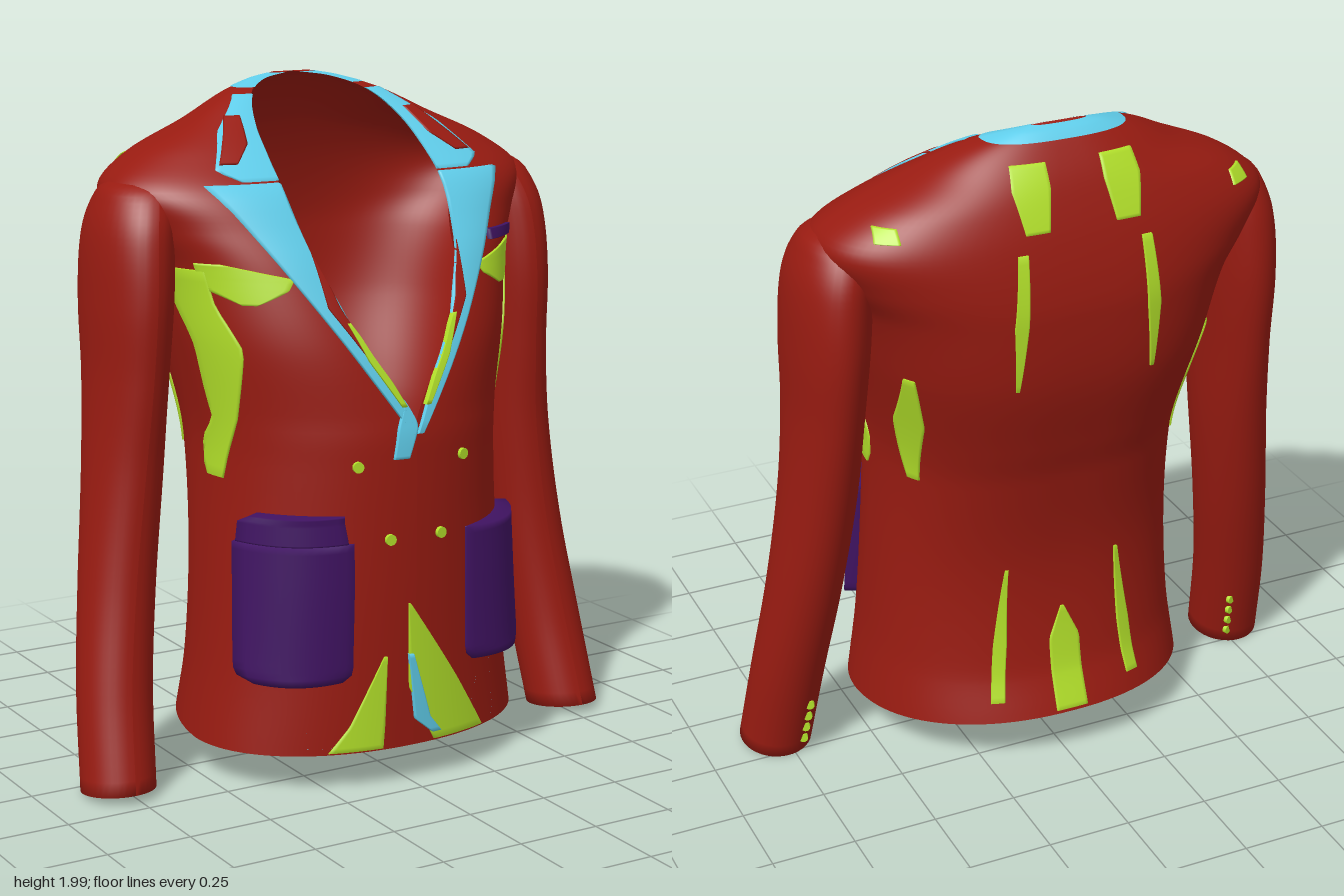
import * as THREE from 'three';

const mat = (color) => new THREE.MeshStandardMaterial({ color, side: THREE.DoubleSide });
const RED = mat(0x981b11), LIME = mat(0xb2e02a), CYAN = mat(0x60cdea), PURPLE = mat(0x401362);

// Body sections: y, half width, z of side, z of front edge, z of back, x of front edge
const BODY = [
  [0.12, 0.515, 0.08, 0.45, -0.38, 0],
  [0.35, 0.485, 0.07, 0.455, -0.325, 0],
  [0.65, 0.465, 0.06, 0.46, -0.305, 0],
  [0.95, 0.455, 0.05, 0.46, -0.35, 0],
  [1.07, 0.465, 0.04, 0.452, -0.385, 0],
  [1.29, 0.51, 0, 0.39, -0.445, 0.13],
  [1.5, 0.56, -0.06, 0.295, -0.46, 0.225],
  [1.6, 0.62, -0.09, 0.235, -0.45, 0.25],
  [1.71, 0.67, -0.1, 0.16, -0.425, 0.263],
  [1.8, 0.565, -0.13, 0.06, -0.395, 0.258],
  [1.88, 0.39, -0.14, -0.045, -0.36, 0.24],
  [1.95, 0.25, -0.185, -0.15, -0.315, 0.19],
  [1.985, 0.14, -0.235, -0.225, -0.283, 0.105],
  [2.0, 0.06, -0.255, -0.255, -0.255, 0],
];

// Sleeve sections: y, x centre, z centre, x radius, z radius
const SLEEVE = [
  [0.02, 0.773, 0.097, 0.107, 0.115],
  [0.3, 0.746, 0.027, 0.108, 0.117],
  [0.6, 0.705, -0.03, 0.108, 0.13],
  [0.92, 0.665, -0.065, 0.107, 0.155],
  [1.18, 0.645, -0.078, 0.105, 0.187],
  [1.4, 0.635, -0.085, 0.113, 0.208],
  [1.58, 0.622, -0.09, 0.114, 0.195],
  [1.68, 0.598, -0.095, 0.107, 0.16],
  [1.73, 0.57, -0.1, 0.09, 0.11],
  [1.755, 0.54, -0.11, 0.01, 0.02],
];

// Smooth interpolation of a table by its first column
function sample(table, y) {
  const n = table.length;
  y = Math.min(Math.max(y, table[0][0]), table[n - 1][0]);
  let i = 0;
  while (i < n - 2 && y > table[i + 1][0]) i++;
  const h = table[i + 1][0] - table[i][0], t = (y - table[i][0]) / h;
  const slope = (k, c) => {
    const a = table[Math.max(k - 1, 0)], b = table[Math.min(k + 1, n - 1)];
    return (b[c] - a[c]) / (b[0] - a[0]);
  };
  return table[i].map((_, c) => (2 * t ** 3 - 3 * t * t + 1) * table[i][c] + (t ** 3 - 2 * t * t + t) * h * slope(i, c)
    + (3 * t * t - 2 * t ** 3) * table[i + 1][c] + (t ** 3 - t * t) * h * slope(i + 1, c));
}

const bodyAt = (y) => {
  const s = sample(BODY, y);
  s[5] = y <= 1.07 ? 0 : Math.max(0, s[5]);
  return s;
};

// Roundness of a section: 1 is an ellipse, less is squarer
const roundness = (y, back) => (back ? 0.92 - 0.17 * Math.min(1, y / 1.3) : 0.92 + 0.08 * Math.min(1, y / 0.8));

// Point on the body: angle 0 is the front edge, PI the middle of the back
function bodyPoint(y, a, sign, off = 0) {
  const [, xs, zm, zf, zb, xo] = bodyAt(y);
  const s = Math.max(0, Math.sin(a)), c = Math.cos(a);
  const front = a <= Math.PI / 2, inner = front ? xo : 0, p = roundness(y, !front);
  const x = inner + (xs - inner) * s ** p + off * s;
  const z = zm + ((front ? zf : zb) - zm) * Math.abs(c) ** p + off * c;
  const lift = front ? 0 : 0.05 * -c * Math.max(0, (0.3 - y) / 0.18);
  return [sign * x, y + lift, z];
}

// Surface from a grid of points, with fn(i, j) giving each one
function grid(name, material, rows, cols, fn) {
  const pos = [], idx = [];
  for (let i = 0; i <= rows; i++) for (let j = 0; j <= cols; j++) pos.push(...fn(i, j));
  for (let i = 0; i < rows; i++) for (let j = 0; j < cols; j++) {
    const a = i * (cols + 1) + j, b = a + cols + 1;
    idx.push(a, a + 1, b, a + 1, b + 1, b);
  }
  const g = new THREE.BufferGeometry();
  g.setAttribute('position', new THREE.Float32BufferAttribute(pos, 3));
  g.setIndex(idx);
  g.computeVertexNormals();
  const m = new THREE.Mesh(g, material);
  m.name = name;
  return m;
}

// Layer going all around the body between two heights
function shell(name, material, y0, y1, off, rows) {
  const cols = 96;
  return grid(name, material, rows, cols, (i, j) => {
    const y = y0 + (y1 - y0) * (1 - (1 - i / rows) ** 1.6);
    const a = (j / cols) * 2 * Math.PI;
    return a <= Math.PI ? bodyPoint(y, a, 1, off) : bodyPoint(y, 2 * Math.PI - a, -1, off);
  });
}

// Point above the body at a given x and y
function onBody(x, y, back, off) {
  const [, xs, , , , xo] = bodyAt(y), ax = Math.abs(x);
  const r = THREE.MathUtils.clamp(back ? ax / xs : (ax - xo) / (xs - xo), 0, 1);
  const a = Math.asin(r ** (1 / roundness(y, back)));
  return bodyPoint(y, back ? Math.PI - a : a, x < 0 ? -1 : 1, off);
}

// Cloth piece lying on the body, with a turned-down rim; rows are [y, x0, x1]
function patch(name, material, rows, { back = false, off = 0.006, bulge = 0, flip = 1 } = {}) {
  const n = 22, m = 14;
  const spread = (k, n) => (k === 0 ? 0 : k === n ? 1 : 0.004 + 0.992 * (k - 1) / (n - 2));
  const y0 = rows[0][0], y1 = rows[rows.length - 1][0];
  return grid(name, material, n, m, (i, j) => {
    const y = y0 + (y1 - y0) * spread(i, n), u = spread(j, m);
    let k = 0;
    while (k < rows.length - 2 && y > rows[k + 1][0]) k++;
    const t = (y - rows[k][0]) / (rows[k + 1][0] - rows[k][0]);
    const mix = (c) => rows[k][c] + (rows[k + 1][c] - rows[k][c]) * t;
    const x = mix(1) + (mix(2) - mix(1)) * u;
    const rim = i === 0 || j === 0 || i === n || j === m;
    return onBody(flip * x, y, back, rim ? 0 : off + bulge * Math.sin(2.4 * u));
  });
}

function button(p, r, tilt = 0) {
  const b = new THREE.Mesh(new THREE.CylinderGeometry(r, r, 0.012, 16), LIME);
  b.rotation.set(Math.PI / 2, 0, tilt);
  b.position.set(...p);
  b.name = 'button';
  return b;
}

function sleeve(side) {
  const g = new THREE.Group();
  g.name = side > 0 ? 'leftSleeve' : 'rightSleeve';
  const rows = 60, cols = 40;
  g.add(grid('sleeveCloth', RED, rows, cols, (i, j) => {
    // the first row turns inside the cuff
    const y = i === 0 ? 0.05 : 0.02 + 1.735 * (1 - (1 - (i - 1) / (rows - 1)) ** 1.4);
    const [, x, z, rx, rz] = sample(SLEEVE, y);
    const a = (j / cols) * 2 * Math.PI * side, k = i === 0 ? 0.93 : 1;
    const dz = rz * k * Math.cos(a);
    return [side * (x + rx * k * Math.sin(Math.abs(a))), y + 0.12 * dz * Math.max(0, 1 - y), z + dz];
  }));
  for (let i = 0; i < 4; i++) {
    const [, x, z, rx, rz] = sample(SLEEVE, 0.07 + i * 0.045);
    g.add(button([side * (x - rx * 0.4), 0.06 + i * 0.045, z - rz * 0.92], 0.014, side * 0.4));
  }
  return g;
}

export function createModel() {
  const model = new THREE.Group();
  model.name = 'jacket';
  model.add(shell('body', RED, 0.12, 2.0, 0, 100), shell('lining', LIME, 0.125, 0.85, -0.008, 30));
  model.add(shell('collarBand', CYAN, 1.965, 1.997, 0.005, 12));
  model.add(sleeve(1), sleeve(-1));

  for (const flip of [1, -1]) {
    // Lapels and collar
    model.add(patch('lapel', CYAN, [[1.04, 0, 0.015], [1.2, 0.075, 0.125], [1.35, 0.165, 0.225], [1.48, 0.215, 0.31],
      [1.65, 0.25, 0.42], [1.73, 0.25, 0.48]], { flip, off: 0.012 }));
    model.add(patch('collar', CYAN, [[1.735, 0.25, 0.37], [1.765, 0.25, 0.43], [1.86, 0.24, 0.36], [1.95, 0.18, 0.24]], { flip, off: 0.01 }));
    model.add(patch('lapelLining', LIME, [[1.12, 0.03, 0.045], [1.25, 0.1, 0.13], [1.36, 0.17, 0.18]], { flip, off: 0.018 }));
    model.add(patch('lapelFacing', RED, [[1.22, 0.1, 0.105], [1.4, 0.19, 0.225], [1.55, 0.235, 0.24]], { flip, off: 0.016 }));
    model.add(patch('collarFacing', RED, [[1.78, 0.36, 0.41], [1.83, 0.3, 0.37], [1.9, 0.27, 0.31]], { flip, off: 0.015 }));
    // Lining showing at the sides and chest
    model.add(patch('sidePanel', LIME, [[0.9, 0.445, 0.455], [1.08, 0.43, 0.46], [1.28, 0.43, 0.5], [1.4, 0.48, 0.53], [1.5, 0.5, 0.55]], { flip }));
    model.add(patch('chestPanel', LIME, [[1.41, 0.4, 0.43], [1.45, 0.32, 0.5], [1.48, 0.3, 0.51], [1.52, 0.47, 0.52]], { flip }));
    // Lining showing at the back
    const back = { flip, back: true };
    model.add(patch('yokePanel', LIME, [[1.75, 0.1, 0.17], [1.86, 0.08, 0.19], [1.92, 0.08, 0.18]], back));
    model.add(patch('shoulderPanel', LIME, [[1.755, 0.5, 0.56], [1.79, 0.5, 0.55]], back));
    model.add(patch('upperBackSeam', LIME, [[1.3, 0.2, 0.21], [1.5, 0.18, 0.22], [1.7, 0.17, 0.2]], back));
    model.add(patch('lowerBackSeam', LIME, [[0.2, 0.2, 0.24], [0.4, 0.18, 0.22], [0.65, 0.17, 0.18]], back));
    model.add(patch('backSidePanel', LIME, [[0.95, 0.4, 0.42], [1.15, 0.41, 0.46], [1.32, 0.45, 0.47]], back));
    // Hip pockets
    model.add(patch('pocket', PURPLE, [[0.335, 0.22, 0.41], [0.36, 0.19, 0.445], [0.6, 0.185, 0.435], [0.74, 0.185, 0.43]], { flip, off: 0.008, bulge: 0.045 }));
    // Facing inside the hem
    model.add(patch('innerFacing', CYAN, [[0.14, 0.2, 0.32], [0.35, 0.26, 0.3]], { flip, off: -0.014 }));
  }
  model.add(patch('backVent', LIME, [[0.135, -0.05, 0.05], [0.4, -0.045, 0.05], [0.5, 0, 0.01]], { back: true }));
  model.add(patch('pocketFlap', PURPLE, [[0.74, 0.2, 0.425], [0.8, 0.21, 0.42], [0.82, 0.21, 0.4]], { flip: -1, off: 0.012, bulge: 0.04 }));
  model.add(patch('breastPocket', PURPLE, [[1.535, 0.37, 0.49], [1.565, 0.37, 0.49]], { off: 0.012 }));

  // Front closing and hem pieces
  model.add(patch('frontOverlap', CYAN, [[0.975, -0.075, -0.03], [1.06, -0.06, 0], [1.14, -0.03, -0.01]], { off: 0.012 }));
  model.add(patch('leftHemPanel', LIME, [[0.125, 0.07, 0.26], [0.3, -0.02, 0.15], [0.55, -0.025, -0.02]]));
  model.add(patch('rightHemPanel', LIME, [[0.125, -0.26, -0.1], [0.2, -0.2, -0.095], [0.4, -0.1, -0.09]]));
  model.add(patch('hemFacing', CYAN, [[0.15, 0.06, 0.09], [0.2, 0, 0.05], [0.4, -0.025, -0.01]], { off: 0.012 }));

  // Front buttons
  for (const [x, y] of [[-0.175, 0.96], [0.165, 0.96], [-0.085, 0.745], [0.08, 0.745]])
    model.add(button(onBody(x, y, false, 0.006), 0.016, -x * 1.2));
  return model;
}
